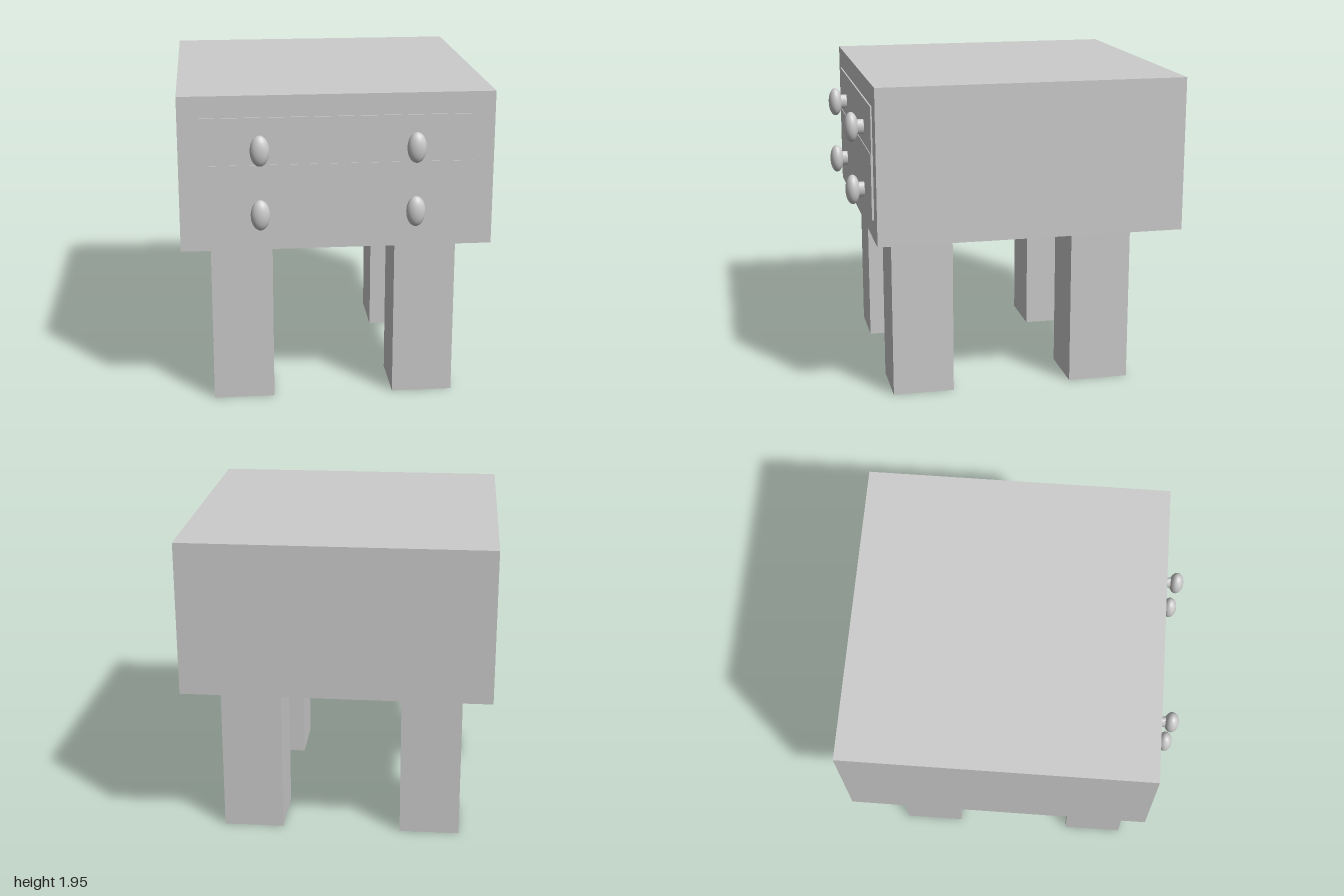
import * as THREE from 'three';

export function createModel() {
  const model = new THREE.Group();
  model.name = 'nightstand';
  const material = new THREE.MeshStandardMaterial({ color: 0xcccccc });

  function add(name, geometry, parent = model) {
    const mesh = new THREE.Mesh(geometry, material);
    mesh.name = name;
    parent.add(mesh);
    return mesh;
  }

  // Box given by its lower and upper limits on each axis
  function box(name, [x0, x1], [y0, y1], [z0, z1]) {
    const mesh = add(name, new THREE.BoxGeometry(x1 - x0, y1 - y0, z1 - z0));
    mesh.position.set((x0 + x1) / 2, (y0 + y1) / 2, (z0 + z1) / 2);
    return mesh;
  }

  // Cabinet body
  box('cabinet', [-0.936, 0.934], [1.01, 1.948], [-1, 0.872]);

  // Four square legs
  const sidesX = { Right: [-0.758, -0.384], Left: [0.361, 0.737] };
  const sidesZ = { front: [0.389, 0.766], back: [-0.736, -0.358] };
  for (const [depth, z] of Object.entries(sidesZ)) {
    for (const [side, x] of Object.entries(sidesX)) {
      box(`${depth}${side}Leg`, x, [0, 1.01], z);
    }
  }

  // Thin drawer fronts; the lower one overlaps the upper one slightly
  box('upperDrawer', [-0.807, 0.803], [1.43, 1.818], [0.8, 0.881]);
  box('lowerDrawer', [-0.805, 0.808], [1.14, 1.535], [0.8, 0.885]);

  // Oval knobs on short oval stems
  const knobGeometry = new THREE.SphereGeometry(1, 32, 20).scale(0.057, 0.092, 0.044);
  const stemGeometry = new THREE.CylinderGeometry(1, 1, 0.1, 24)
    .rotateX(Math.PI / 2).scale(0.029, 0.046, 1);
  for (const [row, y] of [['upper', 1.638], ['lower', 1.25]]) {
    for (const [side, x] of [['Right', -0.463], ['Left', 0.457]]) {
      const handle = new THREE.Group();
      handle.name = `${row}${side}Handle`;
      handle.position.set(x, y, 0);
      model.add(handle);
      add('knob', knobGeometry, handle).position.z = 0.956;
      add('stem', stemGeometry, handle).position.z = 0.89;
    }
  }

  return model;
}
